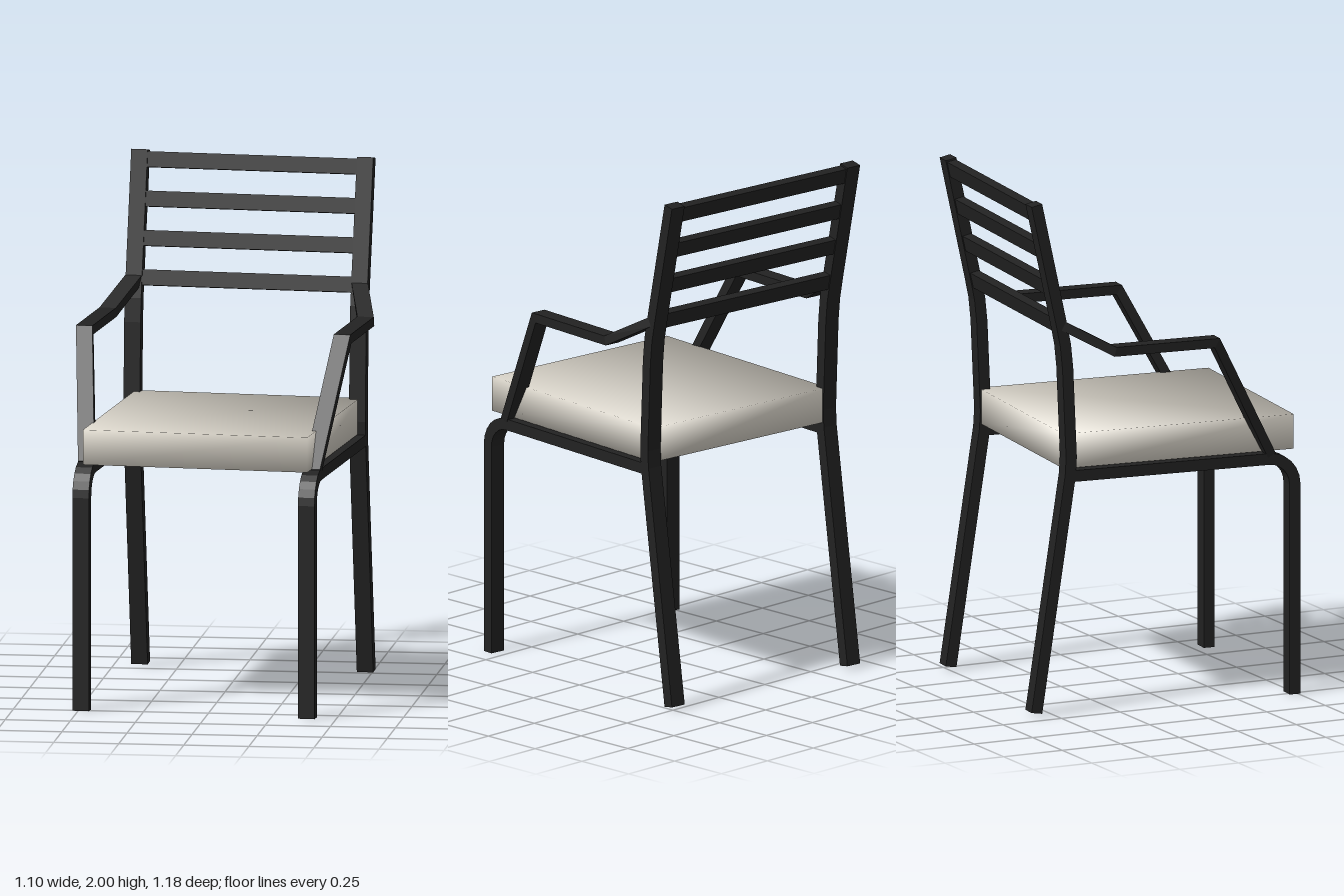
import * as THREE from 'three';

const black = new THREE.MeshStandardMaterial({ color: 0x222222 });
black.name = 'blackFrame';
const cream = new THREE.MeshStandardMaterial({ color: 0xdcd7cc });
cream.name = 'creamCushion';

// Sweep a flat bar along [x, y, z] points, mitred at the bends; its width stays along x.
function bar(name, points, width = 0.064, thick = 0.044) {
  const positions = [], index = [];
  const last = points.length - 1;
  const direction = (i) => {
    const a = points[i], b = points[i + 1];
    return new THREE.Vector2(b[1] - a[1], b[2] - a[2]).normalize();
  };
  points.forEach(([x, y, z], i) => {
    const d0 = direction(Math.max(i - 1, 0)), d1 = direction(Math.min(i, last - 1));
    const t = d0.clone().add(d1).normalize();
    const h = thick / 2 / t.dot(d1), w = width / 2;
    for (const [u, v] of [[-w, -h], [w, -h], [w, h], [-w, h]]) {
      positions.push(x + u, y + v * t.y, z - v * t.x);
    }
  });
  for (let i = 0; i < last; i++) {
    for (let k = 0; k < 4; k++) {
      const a = i * 4 + k, b = i * 4 + (k + 1) % 4;
      index.push(a, b, b + 4, a, b + 4, a + 4);
    }
  }
  const e = last * 4;
  index.push(0, 3, 2, 0, 2, 1, e, e + 1, e + 2, e, e + 2, e + 3);
  const indexed = new THREE.BufferGeometry();
  indexed.setAttribute('position', new THREE.Float32BufferAttribute(positions, 3));
  indexed.setIndex(index);
  const geometry = indexed.toNonIndexed();
  geometry.computeVertexNormals();
  const mesh = new THREE.Mesh(geometry, black);
  mesh.name = name;
  return mesh;
}

export function createModel() {
  const model = new THREE.Group();
  model.name = 'armchair';
  const chair = new THREE.Group();
  chair.name = 'chair';
  chair.position.x = -0.004;
  chair.rotation.y = -0.087;
  model.add(chair);

  for (const [side, s] of [['left', 1], ['right', -1]]) {
    const x = 0.44 * s;

    // Front leg bending back into the seat rail
    const leg = [[x, 0, 0.53]];
    const radius = 0.105;
    for (let i = 0; i <= 6; i++) {
      const a = (i / 6) * Math.PI / 2;
      leg.push([x, 0.821 + radius * Math.sin(a), 0.53 - radius * (1 - Math.cos(a))]);
    }
    leg.push([x, 0.926, -0.385]);
    chair.add(bar(side + 'FrontLegAndRail', leg));

    // Back leg and back post in one bent bar
    const post = [[0.012, -0.53], [0.87, -0.401], [0.93, -0.392], [1.0, -0.388], [1.35, -0.403],
      [1.44, -0.412], [1.52, -0.428], [1.995, -0.53]];
    chair.add(bar(side + 'BackLegAndPost', post.map(([y, z]) => [x, y, z])));

    // Arm rising from the rail, flaring outward, then joining the post
    chair.add(bar(side + 'Arm', [
      [x, 0.94, 0.435], [0.503 * s, 1.412, 0.186], [0.503 * s, 1.412, -0.232], [x, 1.515, -0.42],
    ], 0.064, 0.036));
  }

  // Back slats between the posts
  const slats = new THREE.Group();
  slats.name = 'backSlats';
  for (let i = 0; i < 4; i++) {
    const y = 1.518 + i * 0.147;
    const slat = new THREE.Mesh(new THREE.BoxGeometry(0.84, 0.06, 0.036), black);
    slat.name = 'backSlat' + (i + 1);
    slat.position.set(0, y, -0.428 - (y - 1.52) * 0.215);
    slat.rotation.x = -0.21;
    slats.add(slat);
  }
  chair.add(slats);

  // Seat cushion: a plain block whose corner normals are shared for a soft look
  const cushion = new THREE.BoxGeometry(0.874, 0.135, 0.945);
  const p = cushion.attributes.position, n = cushion.attributes.normal;
  for (let i = 0; i < p.count; i++) {
    const v = new THREE.Vector3(Math.sign(p.getX(i)), Math.sign(p.getY(i)), Math.sign(p.getZ(i))).normalize();
    n.setXYZ(i, v.x, v.y, v.z);
  }
  const seat = new THREE.Mesh(cushion, cream);
  seat.name = 'seatCushion';
  seat.position.set(0.004, 1.0175, 0.067);
  chair.add(seat);

  return model;
}
